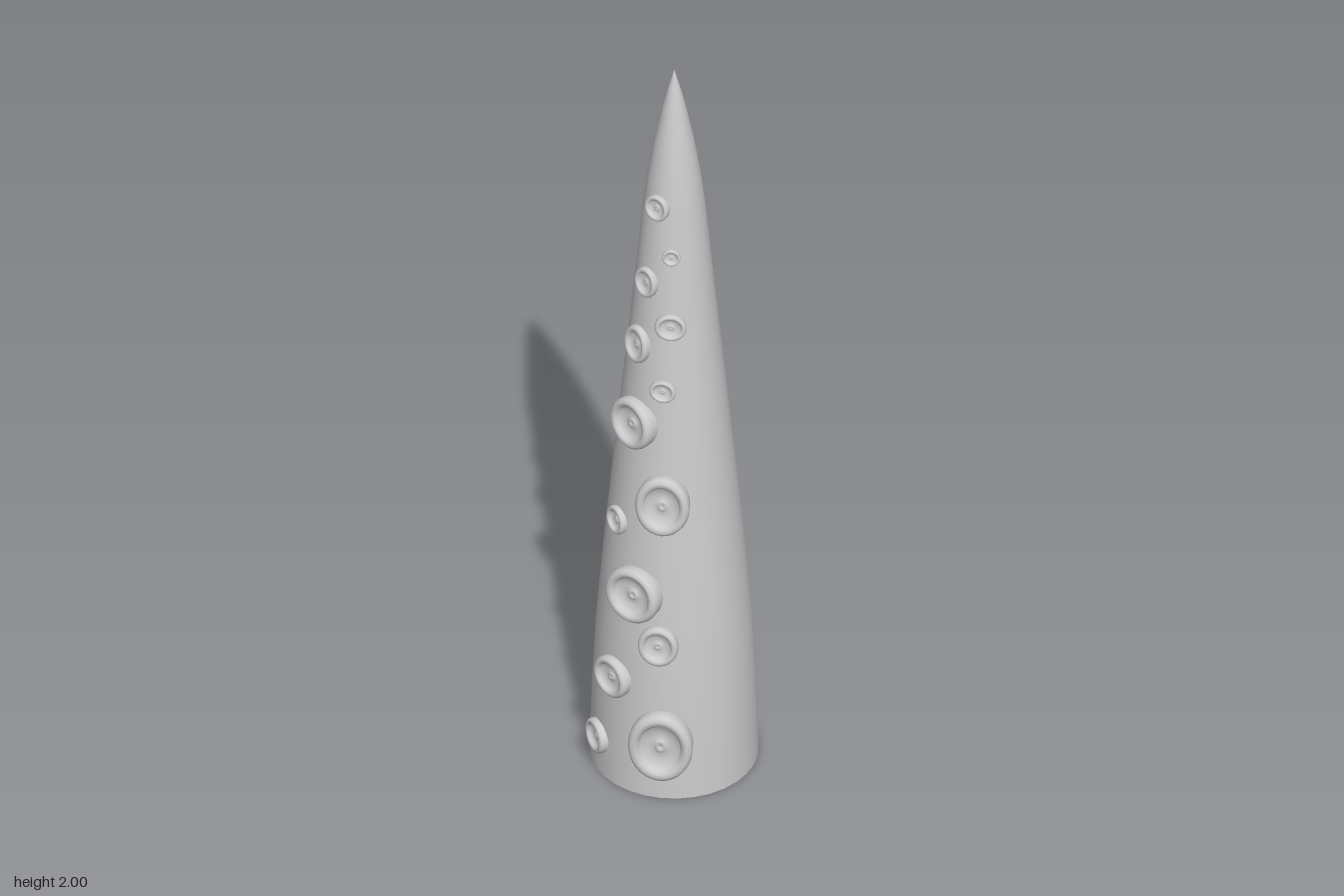
import * as THREE from 'three';

const CENTER_Z = -0.01;

// Silhouette of the tapering arm: [radius, height]
const PROFILE = [
  [0.198, 0], [0.193, 0.2], [0.183, 0.4], [0.167, 0.6], [0.149, 0.8], [0.13, 1.0],
  [0.111, 1.2], [0.092, 1.4], [0.074, 1.6], [0.062, 1.7], [0.046, 1.8], [0.026, 1.9],
  [0.014, 1.95], [0, 2],
];

// Suckers: [x, y, half width, half height]
const SUCKERS = [
  [0.074, 0.158, 0.077, 0.095], [-0.108, 0.1, 0.045, 0.043], [-0.056, 0.307, 0.055, 0.053],
  [0.061, 0.437, 0.048, 0.053], [-0.003, 0.566, 0.071, 0.073], [-0.07, 0.735, 0.035, 0.036],
  [0.053, 0.828, 0.065, 0.08], [-0.032, 1.029, 0.064, 0.066], [0.037, 1.138, 0.032, 0.029],
  [-0.037, 1.243, 0.039, 0.05], [0.045, 1.317, 0.038, 0.035], [-0.021, 1.423, 0.033, 0.04],
  [0.037, 1.508, 0.022, 0.022], [-0.003, 1.637, 0.032, 0.034],
];

// Cup with a rounded rim, a shallow dish and a small raised centre
const CUP = [
  [0.93, -0.4], [0.98, 0], [1, 0.2], [0.96, 0.34], [0.86, 0.42], [0.74, 0.4], [0.66, 0.3],
  [0.6, 0.2], [0.4, 0.14], [0.22, 0.13], [0.17, 0.2], [0.1, 0.22], [0, 0.16],
];

const toPoints = (list) => list.map(([r, y]) => new THREE.Vector2(r, y));

function radiusAt(y) {
  const i = Math.max(1, PROFILE.findIndex((p) => p[1] >= y));
  const [r0, y0] = PROFILE[i - 1];
  const [r1, y1] = PROFILE[i];
  return r0 + ((r1 - r0) * (y - y0)) / (y1 - y0);
}

export function createModel() {
  const model = new THREE.Group();
  model.name = 'tentacle';
  const material = new THREE.MeshStandardMaterial({ color: 0xcccccc, roughness: 0.7 });

  // Arm
  const arm = new THREE.Mesh(new THREE.LatheGeometry(toPoints(PROFILE), 32), material);
  arm.name = 'arm';
  arm.position.z = CENTER_Z;
  model.add(arm);

  // Flat underside
  const base = new THREE.Mesh(new THREE.CircleGeometry(PROFILE[0][0], 32), material);
  base.name = 'base';
  base.rotation.set(Math.PI / 2, 0, Math.PI / 2);
  base.position.z = CENTER_Z;
  model.add(base);

  // Suckers, each standing square to the arm's surface
  const cup = new THREE.LatheGeometry(toPoints(CUP), 28);
  const suckers = new THREE.Group();
  suckers.name = 'suckers';
  for (const [x, y, w, h] of SUCKERS) {
    const r = radiusAt(y);
    const slope = (radiusAt(y - 0.05) - radiusAt(y + 0.05)) / 0.1;
    const z = Math.sqrt(r * r - x * x);
    const normal = new THREE.Vector3(x / r, slope, z / r).normalize();
    const side = new THREE.Vector3(z, 0, -x).normalize();
    const down = new THREE.Vector3().crossVectors(side, normal);
    const sucker = new THREE.Mesh(cup, material);
    sucker.name = 'sucker';
    sucker.quaternion.setFromRotationMatrix(new THREE.Matrix4().makeBasis(side, normal, down));
    sucker.position.set(x, y, z + CENTER_Z).addScaledVector(normal, -0.002);
    sucker.scale.set(w, Math.min(w, h), h);
    suckers.add(sucker);
  }
  model.add(suckers);
  return model;
}
